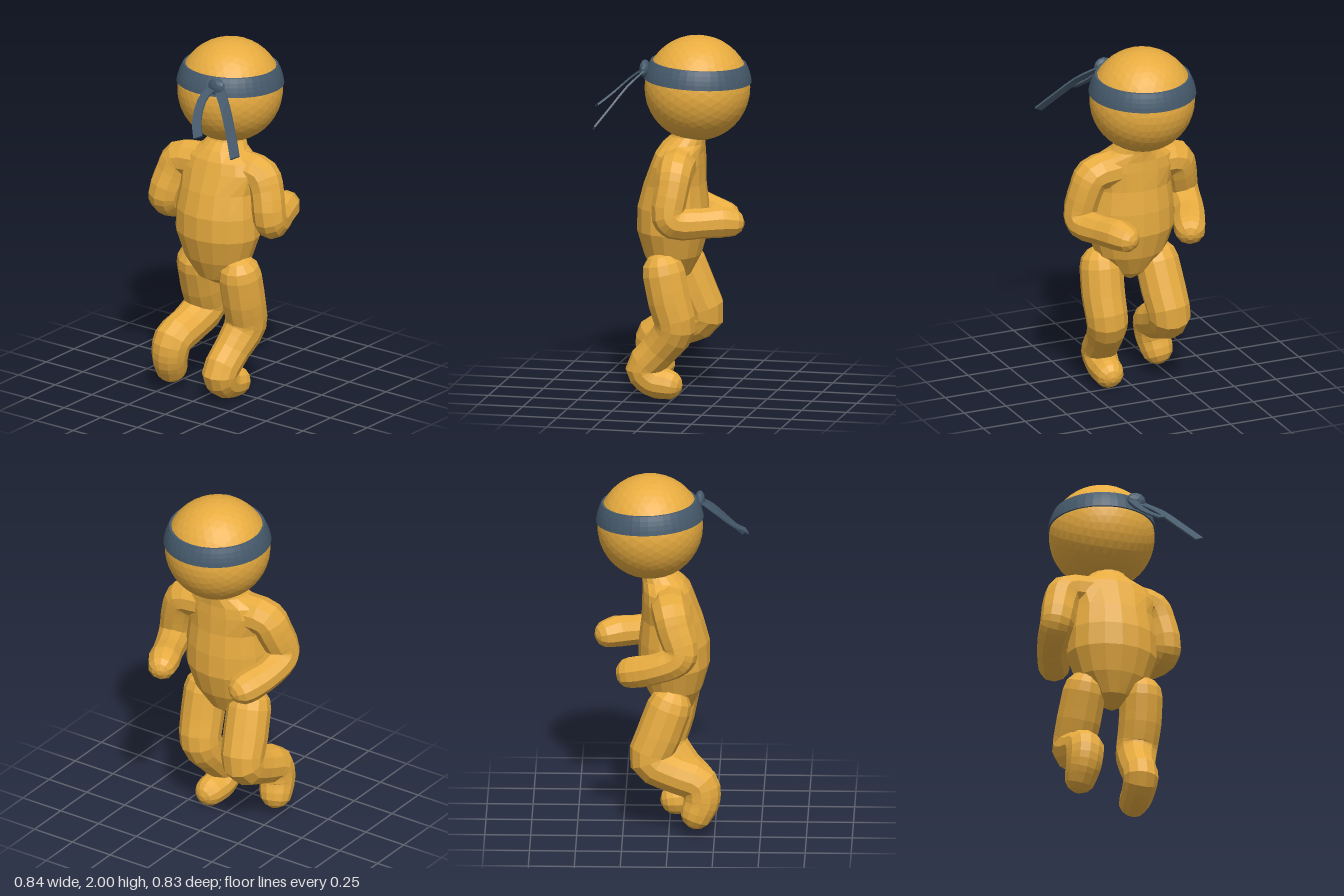
import * as THREE from 'three';

const V = (x, y, z) => new THREE.Vector3(x, y, z);
const skin = new THREE.MeshStandardMaterial({ color: 0xe8ac40, flatShading: true, side: THREE.DoubleSide });
const cloth = new THREE.MeshStandardMaterial({ color: 0x465a6c, flatShading: true, side: THREE.DoubleSide });

function mesh(name, geometry, material) {
  const m = new THREE.Mesh(geometry, material);
  m.name = name;
  return m;
}

// Skin a list of equal-sized rings and close both ends
function loft(rings) {
  const n = rings[0].length, pos = [], idx = [];
  const add = (p) => pos.push(p.x, p.y, p.z);
  const centre = (ring) => ring.reduce((s, p) => s.add(p), V(0, 0, 0)).divideScalar(n);
  rings.forEach((r) => r.forEach(add));
  add(centre(rings[0]));
  add(centre(rings.at(-1)));
  const last = (rings.length - 1) * n, c0 = last + n;
  for (let j = 0; j < n; j++) {
    const k = (j + 1) % n;
    for (let a = 0; a < last; a += n) {
      idx.push(a + j, a + k, a + n + k, a + j, a + n + k, a + n + j);
    }
    idx.push(c0, k, j, c0 + 1, last + j, last + k);
  }
  const g = new THREE.BufferGeometry();
  g.setAttribute('position', new THREE.Float32BufferAttribute(pos, 3));
  g.setIndex(idx);
  g.computeVertexNormals();
  return g;
}

// Round limb through [x, y, z, radius] joints, with domed ends
function limb(joints, sides = 10) {
  const n = joints.length - 1, steps = n * 3;
  const curve = new THREE.CatmullRomCurve3(joints.map((j) => V(j[0], j[1], j[2])), false, 'centripetal');
  const stations = [];
  for (let i = 0; i <= steps; i++) {
    const f = i / steps * n, k = Math.min(Math.floor(f), n - 1);
    stations.push({
      p: curve.getPoint(i / steps), t: curve.getTangent(i / steps),
      r: THREE.MathUtils.lerp(joints[k][3], joints[k + 1][3], f - k),
    });
  }
  const dome = (s, sign) => [0.45, 0.8, 0.98].map((d) => ({
    p: s.p.clone().addScaledVector(s.t, sign * d * s.r), t: s.t, r: s.r * Math.sqrt(1 - d * d),
  }));
  const all = [...dome(stations[0], -1).reverse(), ...stations, ...dome(stations.at(-1), 1)];

  let t = all[0].t;
  const u = V(1, 0, 0).cross(t).normalize();
  const turn = new THREE.Quaternion();
  return loft(all.map((s) => {
    u.applyQuaternion(turn.setFromUnitVectors(t, s.t));
    t = s.t;
    const v = t.clone().cross(u);
    return Array.from({ length: sides }, (_, j) => {
      const a = j / sides * Math.PI * 2;
      return s.p.clone().addScaledVector(u, s.r * Math.cos(a)).addScaledVector(v, s.r * Math.sin(a));
    });
  }));
}

// Thin strip of cloth along a curve, its width lying near the z direction
function ribbon(points, halfWidth, halfThick) {
  const curve = new THREE.CatmullRomCurve3(points);
  const rings = [];
  for (let i = 0; i <= 8; i++) {
    const p = curve.getPoint(i / 8), t = curve.getTangent(i / 8);
    const u = V(0, 0, 1).projectOnPlane(t).normalize();
    const v = t.clone().cross(u);
    rings.push([[1, 1], [-1, 1], [-1, -1], [1, -1]].map(([a, b]) =>
      p.clone().addScaledVector(u, a * halfWidth).addScaledVector(v, b * halfThick)));
  }
  return loft(rings);
}

export function createModel() {
  const model = new THREE.Group();
  model.name = 'runningFigure';

  // Torso and neck: elliptical sections as [y, centre x, half depth, half width]
  const sections = [
    [0.63, -0.02, 0.02, 0.02], [0.68, -0.03, 0.1, 0.11], [0.79, -0.025, 0.155, 0.2],
    [0.93, -0.025, 0.195, 0.25], [1.06, -0.025, 0.193, 0.248], [1.19, -0.015, 0.168, 0.23],
    [1.3, 0.005, 0.145, 0.25], [1.36, 0.015, 0.132, 0.225], [1.41, 0.035, 0.117, 0.135],
    [1.45, 0.06, 0.097, 0.105], [1.52, 0.08, 0.085, 0.09],
  ];
  model.add(mesh('torso', loft(sections.map(([y, cx, rx, rz]) =>
    Array.from({ length: 16 }, (_, j) => {
      const a = j / 16 * Math.PI * 2;
      return V(cx + rx * Math.sin(a), y, rz * Math.cos(a));
    }))), skin));

  // Head
  const head = mesh('head', new THREE.IcosahedronGeometry(0.288, 6), skin);
  head.position.set(0.106, 1.712, -0.015);
  model.add(head);

  // Arms, bent at the elbow, with the shoulders twisted right side forward
  model.add(mesh('rightArm', limb([
    [0.03, 1.305, 0.12, 0.105], [0.04, 1.285, 0.25, 0.1], [0.035, 1.21, 0.288, 0.094],
    [0.02, 1.06, 0.318, 0.092], [0.055, 1.02, 0.31, 0.09], [0.19, 1.015, 0.255, 0.083],
    [0.29, 1.02, 0.212, 0.088], [0.335, 1.015, 0.192, 0.08],
  ]), skin));
  model.add(mesh('leftArm', limb([
    [0, 1.3, -0.12, 0.108], [-0.015, 1.285, -0.26, 0.104], [-0.035, 1.21, -0.295, 0.1],
    [-0.07, 1.09, -0.325, 0.094], [-0.045, 1.045, -0.33, 0.09], [0.06, 0.995, -0.315, 0.084],
    [0.155, 0.962, -0.275, 0.09], [0.2, 0.95, -0.257, 0.088],
  ]), skin));

  // Legs, including feet
  model.add(mesh('rightLeg', limb([
    [-0.04, 0.71, 0.163, 0.12], [-0.01, 0.56, 0.165, 0.12], [0.02, 0.41, 0.155, 0.115],
    [-0.07, 0.28, 0.13, 0.1], [-0.165, 0.165, 0.12, 0.098],
    [-0.11, 0.1, 0.12, 0.09], [-0.03, 0.085, 0.125, 0.084],
  ], 12), skin));
  model.add(mesh('leftLeg', limb([
    [0, 0.71, -0.15, 0.122], [0.055, 0.56, -0.165, 0.124], [0.1, 0.42, -0.18, 0.117],
    [-0.03, 0.345, -0.19, 0.108], [-0.165, 0.29, -0.2, 0.108],
    [-0.18, 0.2, -0.21, 0.1], [-0.155, 0.13, -0.22, 0.09],
  ], 12), skin));

  // Headband, tilted down at the forehead
  const profile = [];
  const zone = (r, y) => new THREE.Vector2(Math.sqrt(r * r - y * y), y);
  for (let i = 0; i <= 4; i++) profile.push(zone(0.298, 0.045 + 0.1 * i / 4));
  profile.push(zone(0.28, 0.145), zone(0.28, 0.045), profile[0].clone());
  const band = mesh('headband', new THREE.LatheGeometry(profile, 40), cloth);
  band.position.copy(head.position);
  band.rotation.z = -0.045;
  model.add(band);

  // Knot and two trailing ends
  const knot = mesh('headbandKnot', new THREE.IcosahedronGeometry(1, 1), cloth);
  knot.scale.set(0.028, 0.05, 0.055);
  knot.position.set(-0.162, 1.828, 0.095);
  model.add(knot);
  model.add(mesh('headbandTail', ribbon(
    [V(-0.16, 1.83, 0.08), V(-0.24, 1.775, 0.06), V(-0.34, 1.685, 0.095), V(-0.415, 1.625, 0.16)], 0.026, 0.005), cloth));
  model.add(mesh('headbandTail', ribbon(
    [V(-0.16, 1.82, 0.11), V(-0.23, 1.75, 0.205), V(-0.31, 1.64, 0.305), V(-0.38, 1.545, 0.385)], 0.028, 0.005), cloth));

  return model;
}
